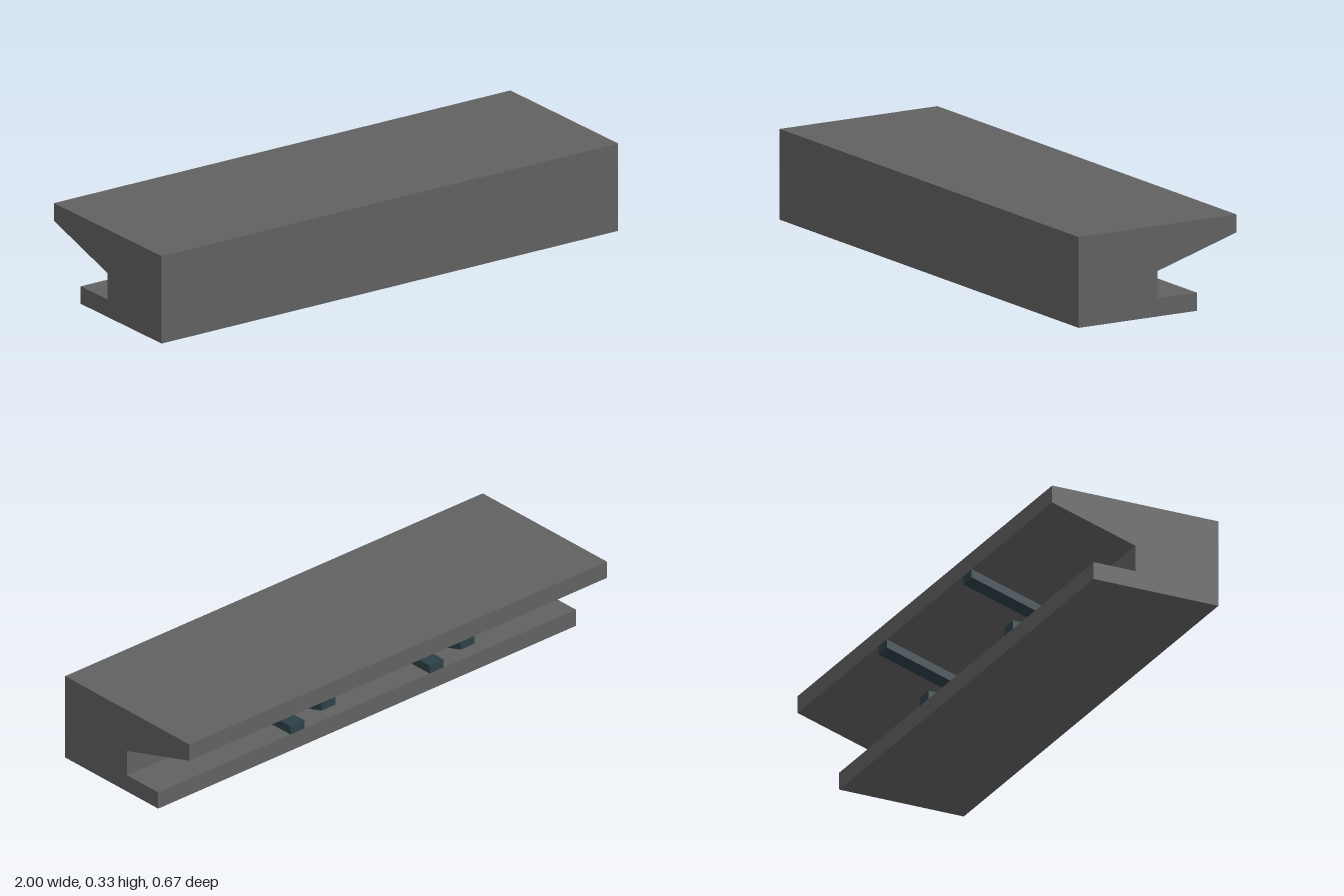
import * as THREE from 'three';

// Extrude a (z, y) side profile along x, centred on the given x
function extrudeAlongX(profile, width, x, material, name) {
  const shape = new THREE.Shape(profile.map(([z, y]) => new THREE.Vector2(-z, y)));
  const geometry = new THREE.ExtrudeGeometry(shape, { depth: width, bevelEnabled: false });
  geometry.translate(0, 0, -width / 2);
  geometry.rotateY(Math.PI / 2);
  const mesh = new THREE.Mesh(geometry, material);
  mesh.position.x = x;
  mesh.name = name;
  return mesh;
}

export function createModel() {
  const group = new THREE.Group();
  group.name = 'ledgeBlock';

  const concrete = new THREE.MeshStandardMaterial({ color: 0x616161 });
  concrete.name = 'concreteGrey';
  const steel = new THREE.MeshStandardMaterial({ color: 0x2e4148 });
  steel.name = 'darkSlate';

  const t = 1 / 3;

  // Main body: solid front, sloped overhang and low lip at the back
  const bodyProfile = [
    [t, 0], [t, t], [-t, t], [-t, 0.2667], [0, 0.1667],
    [0, 0.0667], [-0.1667, 0.0667], [-0.1667, 0],
  ];
  group.add(extrudeAlongX(bodyProfile, 2, 0, concrete, 'body'));

  // Two bracket ribs lining the recess
  const ribProfile = [
    [0, 0.1667], [-t, 0.2667], [-t, 0.2345], [-0.0667, 0.1545],
    [-0.0667, 0.1], [-0.1667, 0.1], [-0.1667, 0.0667], [0, 0.0667],
  ];
  for (const side of [-1, 1]) {
    group.add(extrudeAlongX(ribProfile, 0.0667, side * t, steel, side > 0 ? 'leftRib' : 'rightRib'));
  }
  return group;
}
